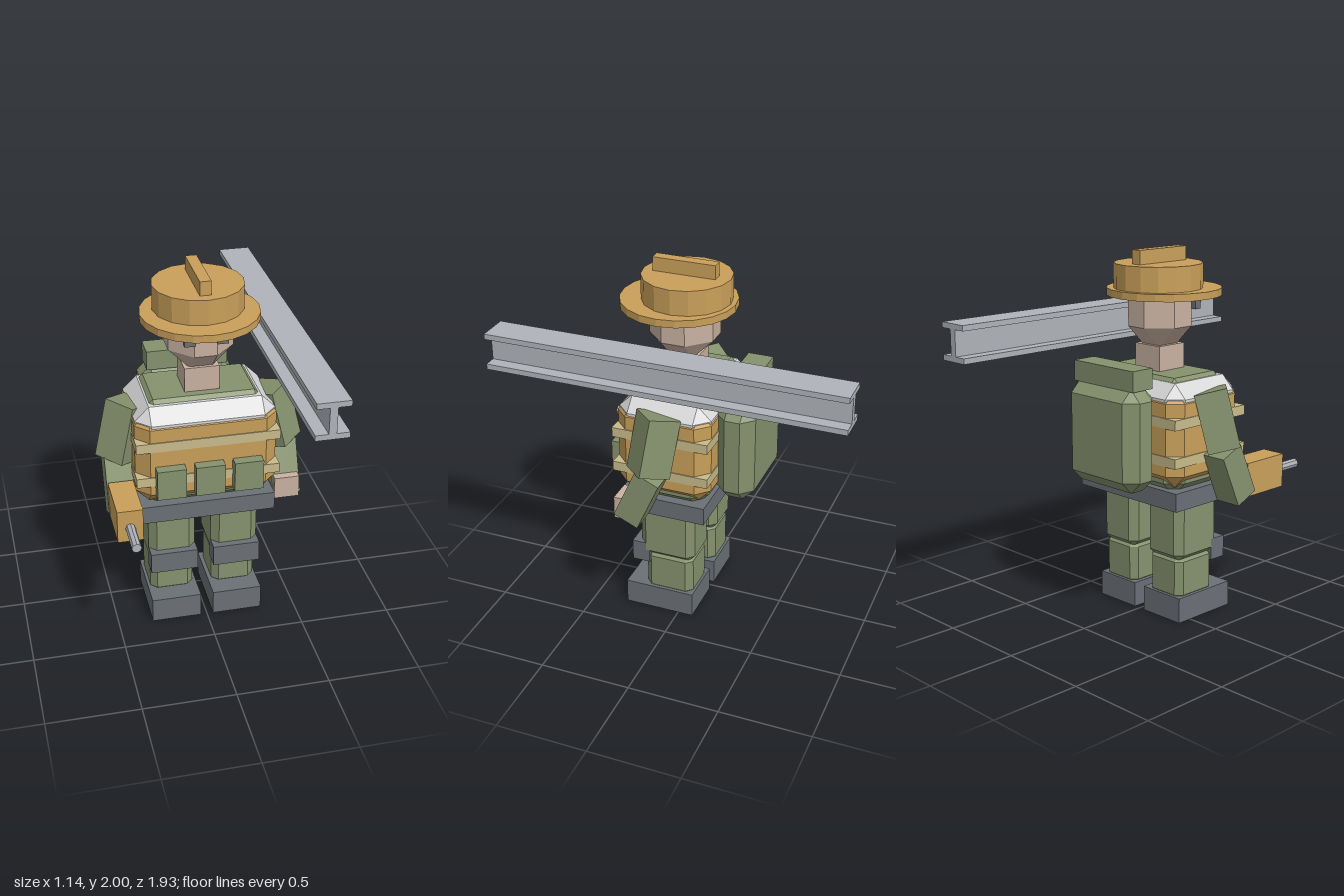
import * as THREE from 'three';
import { ConvexGeometry } from 'three/addons/geometries/ConvexGeometry.js';

const paint = (name, color) => {
  const m = new THREE.MeshStandardMaterial({ color });
  m.name = name;
  m.flatShading = true;
  return m;
};

export function createModel() {
  const orange = paint('orange', 0xc9a05a);
  const green = paint('green', 0x86926e);
  const slate = paint('slate', 0x6b7076);
  const steel = paint('steel', 0xb0b4ba);
  const white = paint('white', 0xd8d8d8);
  const skin = paint('skin', 0xc9b2a2);
  const tan = paint('tan', 0xc8bb8a);

  const root = new THREE.Group();
  root.name = 'worker';

  const add = (name, geometry, material, x = 0, y = 0, z = 0) => {
    const mesh = new THREE.Mesh(geometry, material);
    mesh.name = name;
    mesh.position.set(x, y, z);
    root.add(mesh);
    return mesh;
  };

  // Plain box from its [min, max] extents
  const box = (name, material, [x0, x1], [y0, y1], [z0, z1]) =>
    add(name, new THREE.BoxGeometry(x1 - x0, y1 - y0, z1 - z0), material,
      (x0 + x1) / 2, (y0 + y1) / 2, (z0 + z1) / 2);

  // Box with every edge and corner cut back by b
  const chamferBox = (name, material, [x0, x1], [y0, y1], [z0, z1], b) => {
    const hx = (x1 - x0) / 2, hy = (y1 - y0) / 2, hz = (z1 - z0) / 2;
    const points = [];
    for (const sx of [-1, 1]) for (const sy of [-1, 1]) for (const sz of [-1, 1]) {
      points.push(
        new THREE.Vector3(sx * hx, sy * (hy - b), sz * (hz - b)),
        new THREE.Vector3(sx * (hx - b), sy * hy, sz * (hz - b)),
        new THREE.Vector3(sx * (hx - b), sy * (hy - b), sz * hz));
    }
    return add(name, new ConvexGeometry(points), material,
      (x0 + x1) / 2, (y0 + y1) / 2, (z0 + z1) / 2);
  };

  // Extents mirrored to the given side
  const side = (s, a, b) => (s > 0 ? [a, b] : [-b, -a]);

  for (const s of [1, -1]) {
    const label = s > 0 ? 'left' : 'right';

    // Legs
    box(label + 'Boot', slate, side(s, 0.035, 0.31), [0, 0.14], [-0.085, 0.31]);
    chamferBox(label + 'Shin', green, side(s, 0.055, 0.295), [0.11, 0.37], [-0.073, 0.2], 0.035);
    chamferBox(label + 'Thigh', green, side(s, 0.045, 0.305), [0.335, 0.69], [-0.085, 0.23], 0.04);
    box(label + 'KneePad', slate, side(s, 0.045, 0.305), [0.3, 0.42], [0.17, 0.27]);

    // Upper arm, aimed from shoulder to elbow with a square section turned 45 degrees
    const shoulder = new THREE.Vector3(s * 0.375, 1.285, 0.07);
    const elbow = new THREE.Vector3(s * 0.447, 0.975, 0.105);
    const aim = elbow.clone().sub(shoulder);
    const upperArm = add(label + 'UpperArm',
      new THREE.BoxGeometry(0.175, aim.length(), 0.175).rotateY(Math.PI / 4), green);
    upperArm.position.copy(shoulder).add(elbow).multiplyScalar(0.5);
    upperArm.quaternion.setFromUnitVectors(new THREE.Vector3(0, -1, 0), aim.normalize());

    // Forearm swung forward, hand poking out of its front
    const forearm = add(label + 'Forearm', new THREE.BoxGeometry(0.152, 0.305, 0.145), green,
      s * 0.45, 0.835, 0.145);
    forearm.rotation.x = -0.42;
    box(label + 'Hand', skin, side(s, 0.38, 0.517), [0.7, 0.825], [0.16, 0.275]);

    // Eyes
    box(label + 'Eye', slate, side(s, 0.057, 0.115), [1.665, 1.72], [0.23, 0.27]);
  }

  // Torso layers: shirt, vest, shoulder yoke, belt
  chamferBox('shirt', green, [-0.35, 0.35], [0.72, 1.355], [-0.17, 0.29], 0.08);
  chamferBox('vest', orange, [-0.38, 0.38], [0.78, 1.31], [-0.195, 0.33], 0.07);
  chamferBox('yoke', white, [-0.375, 0.375], [1.08, 1.335], [-0.19, 0.325], 0.075);
  for (const y of [0.933, 1.138]) {
    box('vestStripe', tan, [-0.385, 0.385], [y - 0.027, y + 0.027], [-0.2, 0.335]);
  }
  box('belt', slate, [-0.37, 0.37], [0.665, 0.765], [-0.175, 0.315]);
  for (const x of [-0.207, 0, 0.207]) {
    box('pouch', green, [x - 0.078, x + 0.078], [0.85, 1.02], [0.3, 0.387]);
  }

  // Backpack with bedroll
  chamferBox('backpack', green, [-0.26, 0.26], [0.765, 1.32], [-0.395, -0.18], 0.065);
  box('bedroll', green, [-0.225, 0.225], [1.31, 1.42], [-0.345, -0.205]);

  // Neck and head
  box('neck', skin, [-0.093, 0.093], [1.33, 1.49], [-0.022, 0.165]);
  chamferBox('head', skin, [-0.173, 0.173], [1.48, 1.86], [-0.105, 0.25], 0.113);

  // Brimmed helmet
  add('hatBrim', new THREE.CylinderGeometry(0.312, 0.312, 0.04, 20), orange, 0, 1.77, 0.105);
  add('hatCrown', new THREE.CylinderGeometry(0.24, 0.24, 0.135, 16), orange, 0, 1.857, 0.06);
  box('hatRidge', orange, [-0.03, 0.03], [1.9, 2], [-0.105, 0.24]);

  // Steel girder, an I profile swept along z
  const profile = [
    [-0.087, -0.1], [0.087, -0.1], [0.087, -0.07], [0.02, -0.07], [0.02, 0.07], [0.087, 0.07],
    [0.087, 0.1], [-0.087, 0.1], [-0.087, 0.07], [-0.02, 0.07], [-0.02, -0.07], [-0.087, -0.07],
  ].map(([x, y]) => new THREE.Vector2(x, y));
  add('girder', new THREE.ExtrudeGeometry(new THREE.Shape(profile),
    { depth: 1.93, bevelEnabled: false }), steel, 0.448, 1.56, -0.965);

  // Hand drill
  box('drillBody', orange, [-0.521, -0.385], [0.7, 0.885], [0.215, 0.505]);
  add('drillBit', new THREE.CylinderGeometry(0.026, 0.026, 0.22, 8).rotateX(Math.PI / 2), steel,
    -0.453, 0.783, 0.582);

  return root;
}
